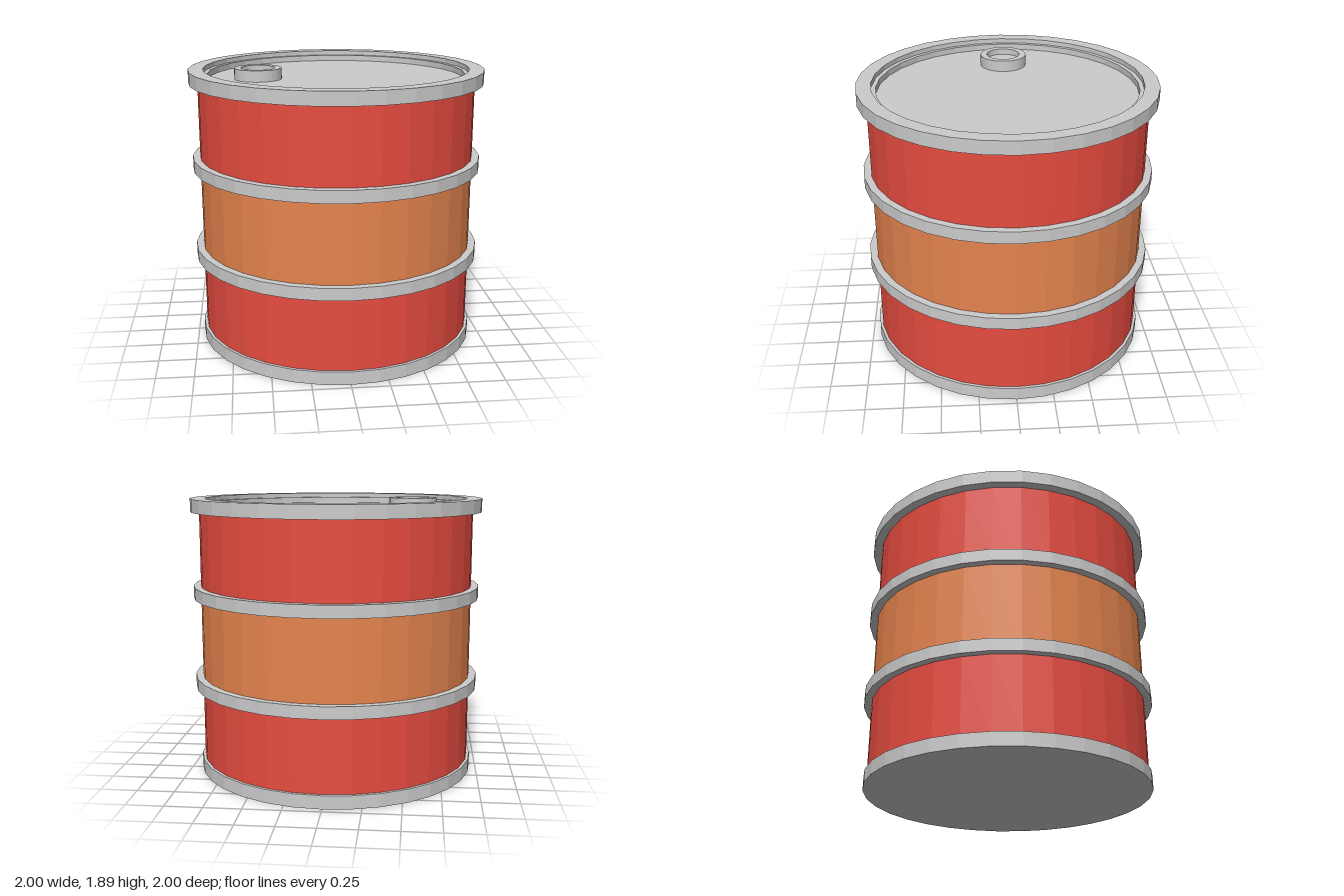
import * as THREE from 'three';

const SEGMENTS = 32;
const flat = (color) => new THREE.MeshStandardMaterial({ color, flatShading: true });

export function createModel() {
  const drum = new THREE.Group();
  drum.name = 'drum';
  const grey = flat(0xcccccc), red = flat(0xe74c40), orange = flat(0xe5844e);

  // Profile points [radius, y], running up the outside and then inward
  const turn = (name, material, profile, segments = SEGMENTS) => {
    const points = profile.map(([r, y]) => new THREE.Vector2(r, y));
    const mesh = new THREE.Mesh(new THREE.LatheGeometry(points, segments), material);
    mesh.name = name;
    drum.add(mesh);
    return mesh;
  };

  // Painted wall bands
  const R = 0.94;
  turn('lowerWall', red, [[R, 0.05], [R, 0.63]]);
  turn('middleWall', orange, [[R, 0.63], [R, 1.26]]);
  turn('upperWall', red, [[R, 1.26], [R, 1.81]]);

  // Base with closed underside
  turn('base', grey, [[0, 0], [0.96, 0], [0.96, 0.09], [0.92, 0.09]]);

  // Rolling hoops
  for (const [name, y] of [['lowerHoop', 0.59], ['upperHoop', 1.215]])
    turn(name, grey, [[0.92, y], [0.99, y], [0.99, y + 0.083], [0.92, y + 0.083]]);

  // Top rim stepping down to the recessed lid
  turn('rimAndLid', grey, [
    [0.92, 1.803], [1, 1.803], [1, 1.892], [0.9, 1.892],
    [0.9, 1.86], [0.87, 1.86], [0.87, 1.82], [0, 1.82],
  ]);

  // Filler cap with a shallow hollow
  const cap = turn('fillerCap', grey, [
    [0.16, 1.815], [0.16, 1.895], [0.115, 1.895], [0.115, 1.855], [0, 1.855],
  ]);
  cap.position.x = -0.53;

  return drum;
}
